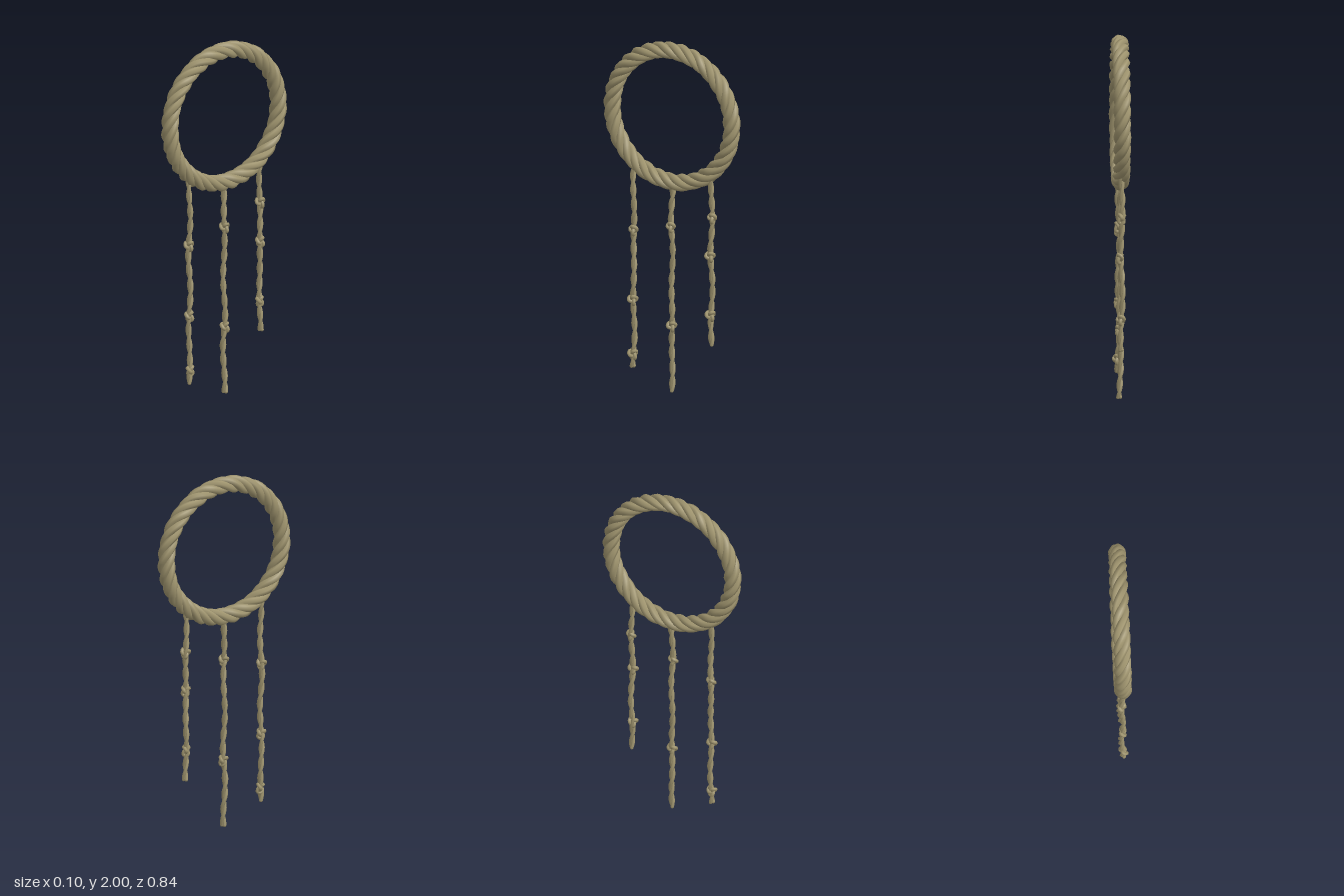
import * as THREE from 'three';

const rope = new THREE.MeshStandardMaterial({ color: 0xa0956f });
rope.name = 'hemp rope';

// Curve defined by a function of t in 0..1
class PathCurve extends THREE.Curve {
  constructor(fn) {
    super();
    this.fn = fn;
  }
  getPoint(t, target = new THREE.Vector3()) {
    return target.copy(this.fn(t));
  }
}

function strand(name, fn, segments, radius, sides, closed) {
  const mesh = new THREE.Mesh(
    new THREE.TubeGeometry(new PathCurve(fn), segments, radius, sides, closed), rope);
  mesh.name = name;
  return mesh;
}

// Hoop of right-handed twisted strands standing in the YZ plane
function makeRing() {
  const ring = new THREE.Group();
  ring.name = 'ropeRing';
  const strands = 4, turns = 8, R = 0.375, offset = 0.026;
  for (let i = 0; i < strands; i++) {
    ring.add(strand('ringStrand', (t) => {
      const a = t * Math.PI * 2;
      const b = turns * a + (i / strands) * Math.PI * 2;
      const r = R + offset * Math.cos(b);
      return new THREE.Vector3(-offset * Math.sin(b), r * Math.cos(a), r * Math.sin(a));
    }, 200, 0.0225, 6, true));
  }
  ring.position.y = 1.58;
  return ring;
}

// Overhand knot, a small trefoil loop around the cord
function makeKnot(x, y, z, turn) {
  const knot = strand('knot', (t) => {
    const a = t * Math.PI * 2;
    return new THREE.Vector3(
      0.0075 * (Math.sin(a) + 2 * Math.sin(2 * a)),
      0.009 * (Math.cos(a) - 2 * Math.cos(2 * a)),
      -0.011 * Math.sin(3 * a));
  }, 48, 0.0105, 6, true);
  knot.position.set(x, y, z);
  knot.rotation.set(0, Math.PI / 2 + turn, 0.2);
  return knot;
}

// Hanging cord: two twisted strands with a slight sway, closed ends and knots
function makeCord({ z, top, bottom, knots, phase }) {
  const cord = new THREE.Group();
  cord.name = 'hangingCord';
  const length = top - bottom, pitch = 0.17, offset = 0.0075, radius = 0.0105;
  const swayX = (y) => 0.005 * Math.sin(y * 13 + phase);
  const swayZ = (y) => 0.004 * Math.sin(y * 17 + phase * 2);
  for (let i = 0; i < 2; i++) {
    const path = (t) => {
      const y = top - length * t;
      const b = (y / pitch) * Math.PI * 2 + i * Math.PI + phase;
      return new THREE.Vector3(
        swayX(y) + offset * Math.sin(b), y, z + swayZ(y) + offset * Math.cos(b));
    };
    cord.add(strand('cordStrand', path, 80, radius, 6, false));
    const end = new THREE.Mesh(new THREE.SphereGeometry(radius, 6, 4), rope);
    end.name = 'cordEnd';
    end.position.copy(path(1));
    cord.add(end);
  }
  knots.forEach((y, i) => cord.add(makeKnot(swayX(y) + 0.004, y, z + swayZ(y), 0.5 * (i - 1))));
  return cord;
}

export function createModel() {
  const model = new THREE.Group();
  model.name = 'ropeHoop';
  model.add(makeRing());
  const cords = [
    { z: 0.24, top: 1.27, bottom: 0.11, knots: [0.89, 0.49, 0.18], phase: 0 },
    { z: 0, top: 1.2, bottom: 0.0105, knots: [0.95, 0.38], phase: 1.7 },
    { z: -0.248, top: 1.27, bottom: 0.315, knots: [1.04, 0.82, 0.48], phase: 3.1 },
  ];
  cords.forEach((c) => model.add(makeCord(c)));
  return model;
}
